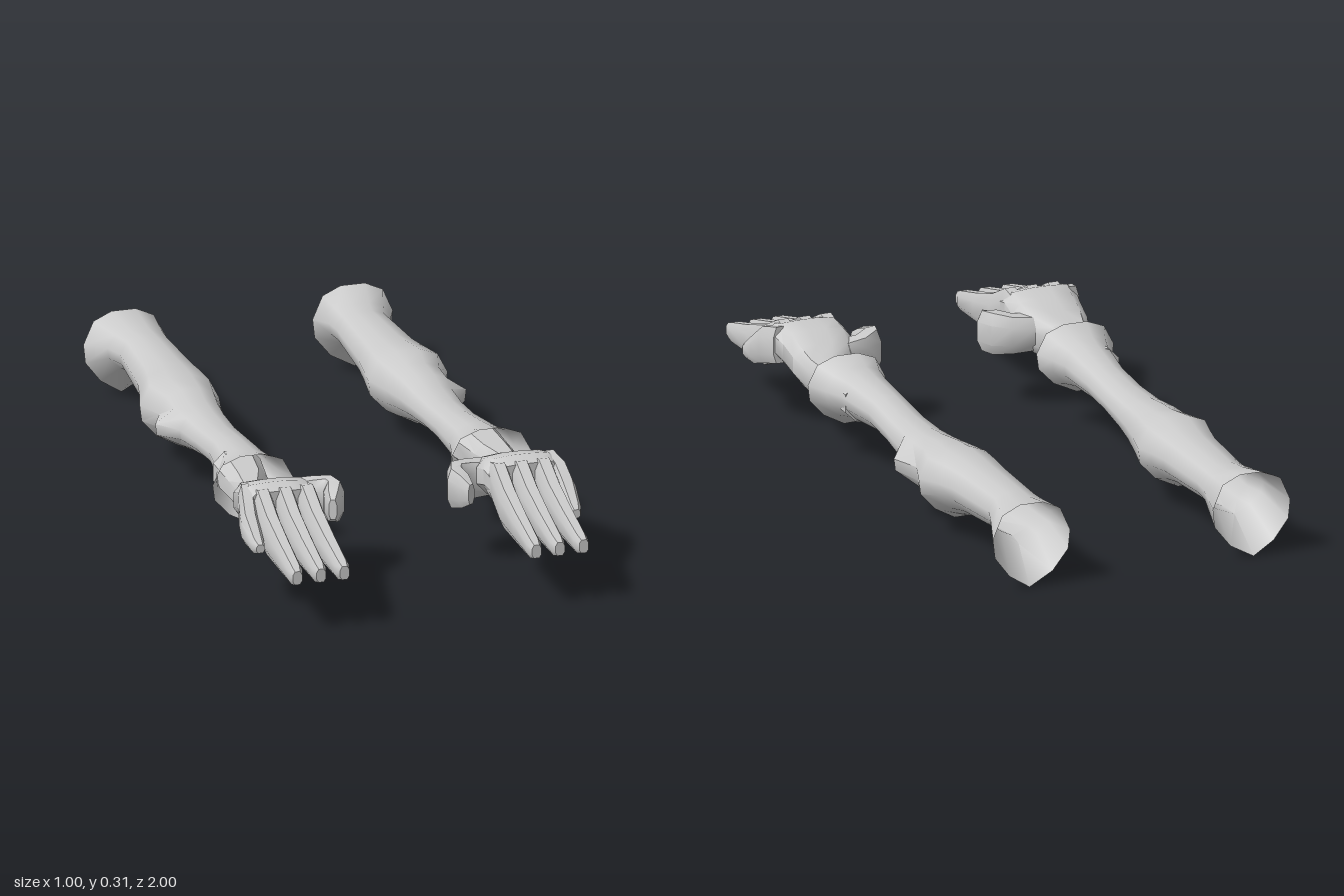
import * as THREE from 'three';
import { toCreasedNormals } from 'three/addons/utils/BufferGeometryUtils.js';

const material = new THREE.MeshStandardMaterial({ color: 0xcccccc, side: THREE.DoubleSide });

// Unit cross-sections, counter-clockwise when seen from the front
const SLEEVE = [[0.95, -0.2], [1, 0.25], [0.75, 0.8], [0.3, 1], [-0.3, 1], [-0.75, 0.8],
  [-1, 0.25], [-0.95, -0.2], [-0.55, -0.68], [0.05, -1], [0.57, -0.68]];
const SOFT = [[1, -0.5], [1, 0.45], [0.55, 1], [-0.55, 1], [-1, 0.45], [-1, -0.5], [-0.55, -1], [0.55, -1]];
const PALM = [[1, -0.3], [1, 0.5], [0.75, 0.95], [0.25, 1], [-0.25, 1], [-0.75, 0.9],
  [-1, 0.4], [-1, -0.4], [-0.7, -0.95], [0, -0.8], [0.7, -0.95]];

// One section: centre x, y, z, half width, half height, heading in the ground plane
function section(profile, x, y, z, w, h, yaw = 0) {
  return profile.map(([u, v]) => [x + u * w * Math.cos(yaw), y + v * h, z - u * w * Math.sin(yaw)]);
}

// Section given by its limits: z, inner x, outer x, bottom y, top y
function span(profile, [z, x0, x1, y0, y1]) {
  return section(profile, (x0 + x1) / 2, (y0 + y1) / 2, z, (x1 - x0) / 2, (y1 - y0) / 2);
}

// Skin a list of sections; side = -1 mirrors the part across x = 0
function loft(name, rings, side, { capStart = false, capEnd = false, crease = 0.75 } = {}) {
  const n = rings[0].length;
  const position = [];
  const index = [];
  const tri = (a, b, c) => (side > 0 ? index.push(a, b, c) : index.push(a, c, b));
  rings.forEach((ring) => ring.forEach(([x, y, z]) => position.push(x * side, y, z)));
  for (let i = 0; i < rings.length - 1; i++) {
    for (let j = 0; j < n; j++) {
      const k = (j + 1) % n;
      const a = i * n + j, b = i * n + k, c = b + n, d = a + n;
      tri(a, b, c);
      tri(a, c, d);
    }
  }
  const last = (rings.length - 1) * n;
  for (let j = 1; j < n - 1; j++) {
    if (capStart) tri(0, j + 1, j);
    if (capEnd) tri(last, last + j, last + j + 1);
  }
  const geometry = new THREE.BufferGeometry();
  geometry.setAttribute('position', new THREE.Float32BufferAttribute(position, 3));
  geometry.setIndex(index);
  const mesh = new THREE.Mesh(toCreasedNormals(geometry, crease), material);
  mesh.name = name;
  return mesh;
}

// Long open sleeve, flared at both ends, with an outward bump at the elbow
function sleeve(side) {
  const rows = [
    [-1, 0.24, 0.48, 0, 0.25], [-0.89, 0.255, 0.44, 0.095, 0.233], [-0.83, 0.26, 0.42, 0.1, 0.232],
    [-0.6, 0.25, 0.435, 0.085, 0.24], [-0.53, 0.242, 0.45, 0.07, 0.245], [-0.45, 0.235, 0.472, 0.04, 0.25],
    [-0.36, 0.255, 0.44, 0.06, 0.243], [-0.28, 0.268, 0.438, 0.083, 0.236], [-0.2, 0.275, 0.425, 0.105, 0.23],
    [-0.08, 0.28, 0.415, 0.127, 0.232], [0.05, 0.28, 0.41, 0.135, 0.247], [0.2, 0.275, 0.43, 0.125, 0.265],
    [0.26, 0.262, 0.45, 0.11, 0.272], [0.325, 0.24, 0.48, 0.085, 0.292],
  ];
  const rings = rows.map((row) => {
    const ring = span(SLEEVE, row);
    if (row[0] === -0.28) [0, 1].forEach((i) => { ring[i][0] += 0.037; });
    // The right arm leans slightly inward toward the back
    if (side < 0) ring.forEach((p) => { p[0] -= 0.008 + 0.027 * (0.32 - p[2]) / 1.32; });
    return ring;
  });
  return loft('sleeve', rings, side, { crease: 0.9 });
}

function hand(side) {
  const group = new THREE.Group();
  group.name = 'hand';

  // Wrist, narrowing out of the sleeve
  group.add(loft('wrist', [
    [0.18, 0.285, 0.425, 0.14, 0.255], [0.33, 0.31, 0.425, 0.15, 0.25],
    [0.4, 0.345, 0.42, 0.145, 0.243], [0.45, 0.34, 0.43, 0.15, 0.25],
  ].map((row) => span(SOFT, row)), side, { capStart: true }));

  // Arched palm
  group.add(loft('palm', [
    [0.395, 0.345, 0.42, 0.14, 0.243], [0.43, 0.31, 0.44, 0.145, 0.255], [0.48, 0.262, 0.458, 0.16, 0.278],
    [0.54, 0.25, 0.463, 0.178, 0.302], [0.6, 0.252, 0.474, 0.2, 0.315], [0.645, 0.258, 0.47, 0.2, 0.302],
  ].map((row) => span(PALM, row)), side, { capStart: true, capEnd: true }));

  // Three long fingers
  [['indexFinger', 0.287], ['middleFinger', 0.352], ['ringFinger', 0.418]].forEach(([name, x], i) => {
    const rows = [[0.58, 0.246, 0.027, 0.05], [0.64, 0.252, 0.029, 0.058], [0.73, 0.207, 0.028, 0.06],
      [0.85, 0.188, 0.025, 0.043], [0.97, 0.172, 0.021, 0.029], [0.998, 0.171, 0.014, 0.02]];
    const rings = rows.map(([z, y, w, h], k) => section(SOFT, x + i * 0.001 * k, y, z, w, h));
    group.add(loft(name, rings, side, { capStart: true, capEnd: true }));
  });

  // Short little finger, dropping steeply on the outer side
  group.add(loft('littleFinger', [
    [0.58, 0.435, 0.475, 0.2, 0.31], [0.645, 0.44, 0.493, 0.185, 0.295], [0.69, 0.447, 0.5, 0.17, 0.26],
    [0.76, 0.454, 0.493, 0.166, 0.213], [0.785, 0.46, 0.484, 0.175, 0.2],
  ].map((row) => span(SOFT, row)), side, { capStart: true, capEnd: true }));

  // Thumb, bending out sideways and then forward
  group.add(loft('thumb', [
    [0.29, 0.22, 0.5, 0.045, 0.05, -1.5], [0.235, 0.22, 0.505, 0.035, 0.055, -1.2],
    [0.192, 0.222, 0.532, 0.032, 0.062, -0.85], [0.182, 0.22, 0.56, 0.03, 0.06, 0.3],
    [0.197, 0.22, 0.598, 0.025, 0.048, 0.5], [0.207, 0.22, 0.628, 0.012, 0.03, 0.5],
  ].map((row) => section(SOFT, ...row)), side, { capStart: true, capEnd: true }));
  return group;
}

export function createModel() {
  const model = new THREE.Group();
  model.name = 'arms';
  [['leftArm', 1], ['rightArm', -1]].forEach(([name, side]) => {
    const arm = new THREE.Group();
    arm.name = name;
    arm.add(sleeve(side), hand(side));
    model.add(arm);
  });
  return model;
}
